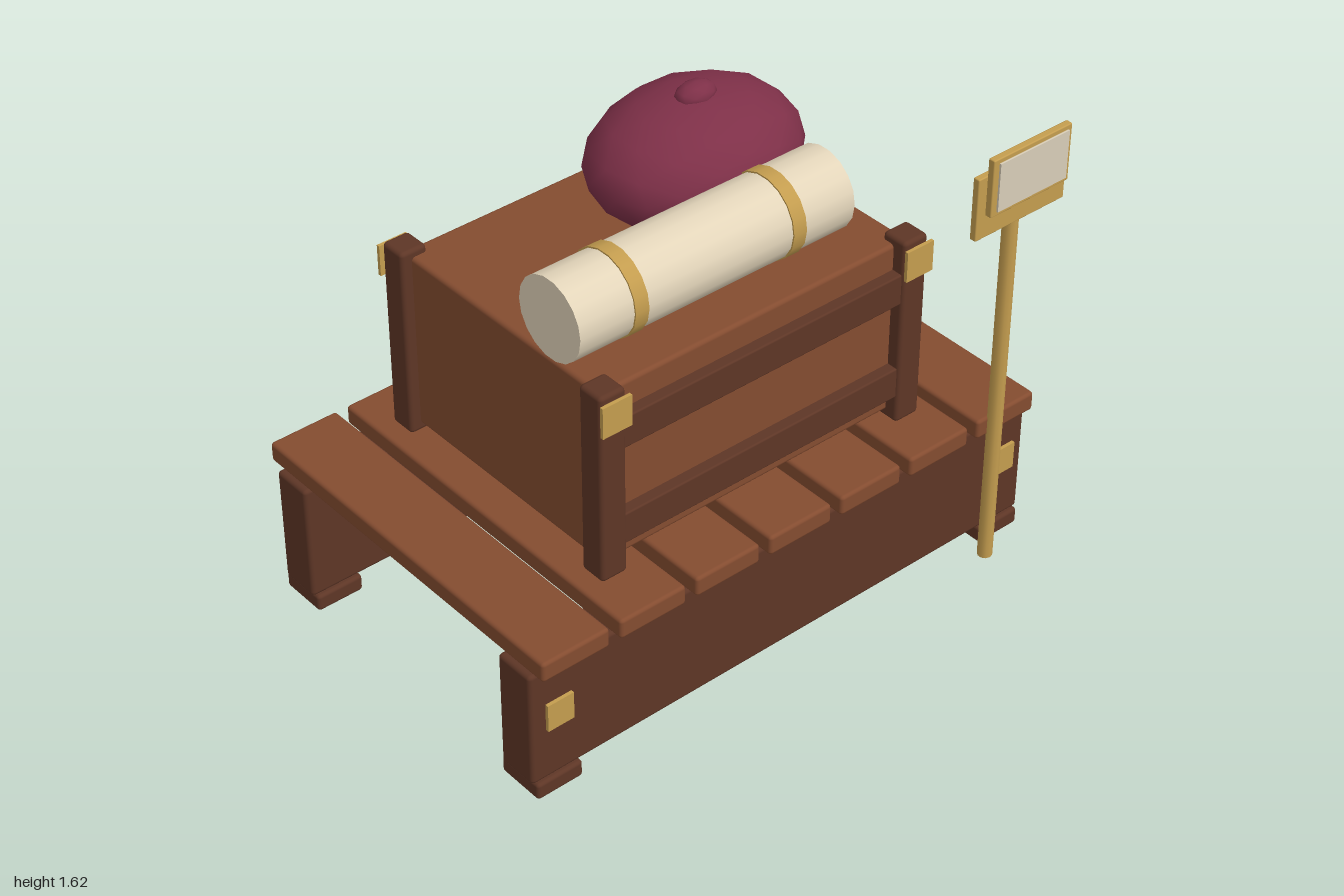
import * as THREE from 'three';
import { RoundedBoxGeometry } from 'three/addons/geometries/RoundedBoxGeometry.js';

const MID = -0.045; // z centre of the platform and chest

export function createModel() {
  const model = new THREE.Group();
  model.name = 'chestOnPlatform';

  const material = (name, color) => {
    const m = new THREE.MeshStandardMaterial({ color });
    m.name = name;
    return m;
  };
  const wood = material('warmWood', 0x844c30);
  const darkWood = material('darkWood', 0x5e3626);
  const brass = material('brass', 0xc49d4f);
  const parchment = material('parchment', 0xe3d5ba);
  const paper = material('paper', 0xd8cdb8);
  const maroon = material('maroonCloth', 0x7e3048);

  const add = (parent, name, geometry, mat, x, y, z) => {
    const mesh = new THREE.Mesh(geometry, mat);
    mesh.name = name;
    mesh.position.set(x, y, z);
    parent.add(mesh);
    return mesh;
  };
  const box = (parent, name, mat, w, h, d, x, y, z, r = 0.012) =>
    add(parent, name, r ? new RoundedBoxGeometry(w, h, d, 2, r) : new THREE.BoxGeometry(w, h, d), mat, x, y, z);
  const group = (name) => {
    const g = new THREE.Group();
    g.name = name;
    model.add(g);
    return g;
  };

  // Slatted platform on two long beams
  const platform = group('platform');
  for (let i = -3; i <= 3; i++) {
    box(platform, 'slat', wood, 0.247, 0.07, 1.34, i * 0.2875, 0.517, MID);
  }
  for (const s of [1, -1]) {
    box(platform, 'beam', darkWood, 2, 0.42, 0.146, 0, 0.267, MID + s * 0.55, 0.014);
    for (const x of [-1, 1]) {
      box(platform, 'foot', darkWood, 0.17, 0.06, 0.172, x * 0.905, 0.03, MID + s * 0.55);
      box(platform, 'beamPlate', brass, 0.096, 0.098, 0.012, x * 0.9, 0.303, MID + s * 0.634, 0);
    }
  }

  // Chest with corner posts, rails and brass plates
  const chest = group('chest');
  box(chest, 'chestBody', wood, 1.194, 0.62, 0.925, 0, 0.89, MID, 0.014);
  for (const s of [1, -1]) {
    for (const y of [0.705, 1.055]) {
      box(chest, 'rail', darkWood, 1.12, 0.11, 0.06, 0, y, MID + s * 0.471, 0.006);
    }
    for (const x of [-1, 1]) {
      box(chest, 'cornerPost', darkWood, 0.096, 0.672, 0.096, x * 0.587, 0.89, MID + s * 0.462, 0.014);
      box(chest, 'cornerPlate', brass, 0.107, 0.107, 0.012, x * 0.587, 1.153, MID + s * 0.523, 0);
    }
  }

  // Rolled scroll with two straps
  const scroll = group('scroll');
  const roll = (name, mat, radius, length, x) => {
    const mesh = add(scroll, name, new THREE.CylinderGeometry(radius, radius, length, 18), mat, x, 1.342, 0.202);
    mesh.rotation.z = Math.PI / 2;
  };
  roll('scrollRoll', parchment, 0.138, 1.045, -0.0775);
  for (const x of [-0.377, 0.225]) roll('scrollStrap', brass, 0.143, 0.05, x);

  // Soft cloth bundle with a knot on top
  const bundle = group('clothBundle');
  add(bundle, 'bundle', new THREE.IcosahedronGeometry(1, 2), maroon, 0.245, 1.376, -0.155).scale.set(0.368, 0.212, 0.292);
  add(bundle, 'knot', new THREE.IcosahedronGeometry(1, 1), maroon, 0.245, 1.58, -0.15).scale.set(0.073, 0.042, 0.052);

  // Notice stand with stacked boards
  const sign = group('noticeStand');
  add(sign, 'pole', new THREE.CylinderGeometry(0.025, 0.025, 1.4, 10), brass, 0.8, 0.7, 0.638);
  box(sign, 'backBoard', brass, 0.37, 0.216, 0.024, 0.8, 1.417, 0.662, 0.004);
  box(sign, 'frontBoard', brass, 0.322, 0.198, 0.024, 0.797, 1.5, 0.697, 0.004);
  box(sign, 'paperSheet', paper, 0.284, 0.166, 0.009, 0.8, 1.5, 0.711, 0);

  return model;
}
